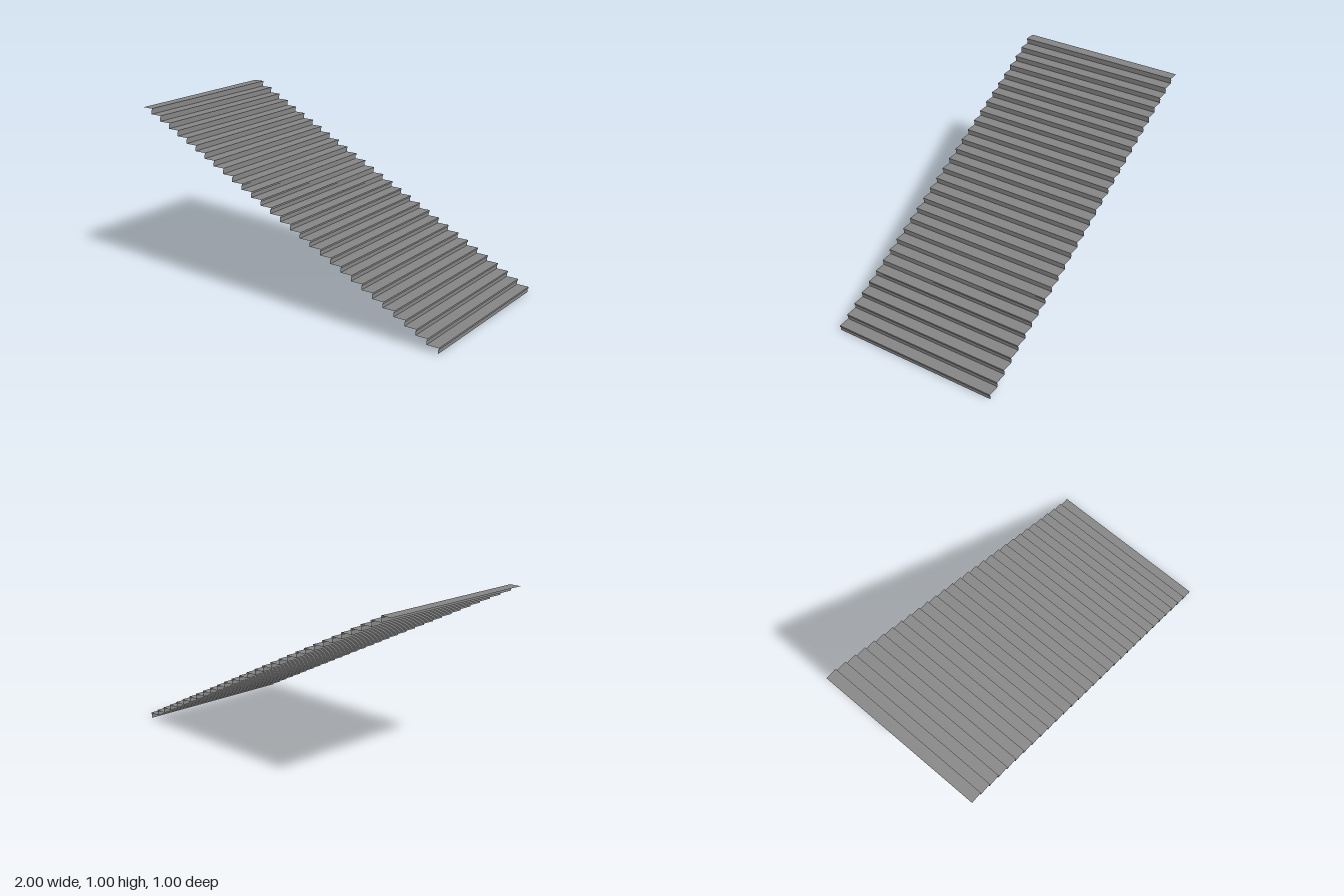
import * as THREE from 'three';

const STEPS = 30, RUN = 2 / STEPS, RISE = 1 / STEPS;
const LIP = 0.01, OVERHANG = 0.005, HALF_WIDTH = 0.5;

// Sweeps an open x-y profile across the width as flat, separate strips
function foldedSheet(profile) {
  const pos = [];
  for (let i = 0; i < profile.length - 1; i++) {
    const [ax, ay] = profile[i], [bx, by] = profile[i + 1], w = HALF_WIDTH;
    pos.push(ax, ay, w, bx, by, w, bx, by, -w);
    pos.push(ax, ay, w, bx, by, -w, ax, ay, -w);
  }
  const geometry = new THREE.BufferGeometry();
  geometry.setAttribute('position', new THREE.Float32BufferAttribute(pos, 3));
  geometry.computeVertexNormals();
  return geometry;
}

export function createModel() {
  const group = new THREE.Group();
  group.name = 'staircase';
  const material = new THREE.MeshStandardMaterial({
    color: 0x868686, flatShading: true, side: THREE.DoubleSide,
  });

  // Each step: tread, nosing lip, underside of the nosing, riser
  for (let i = 0; i < STEPS; i++) {
    const back = -1 + i * RUN - (i > 0 ? OVERHANG : 0);
    const nose = -1 + (i + 1) * RUN;
    const top = 1 - i * RISE;
    const step = new THREE.Mesh(foldedSheet([
      [back, top],
      [nose, top],
      [nose, top - LIP],
      [nose - OVERHANG, top - LIP],
      [nose - OVERHANG, top - RISE],
    ]), material);
    step.name = `step${i + 1}`;
    group.add(step);
  }
  return group;
}
